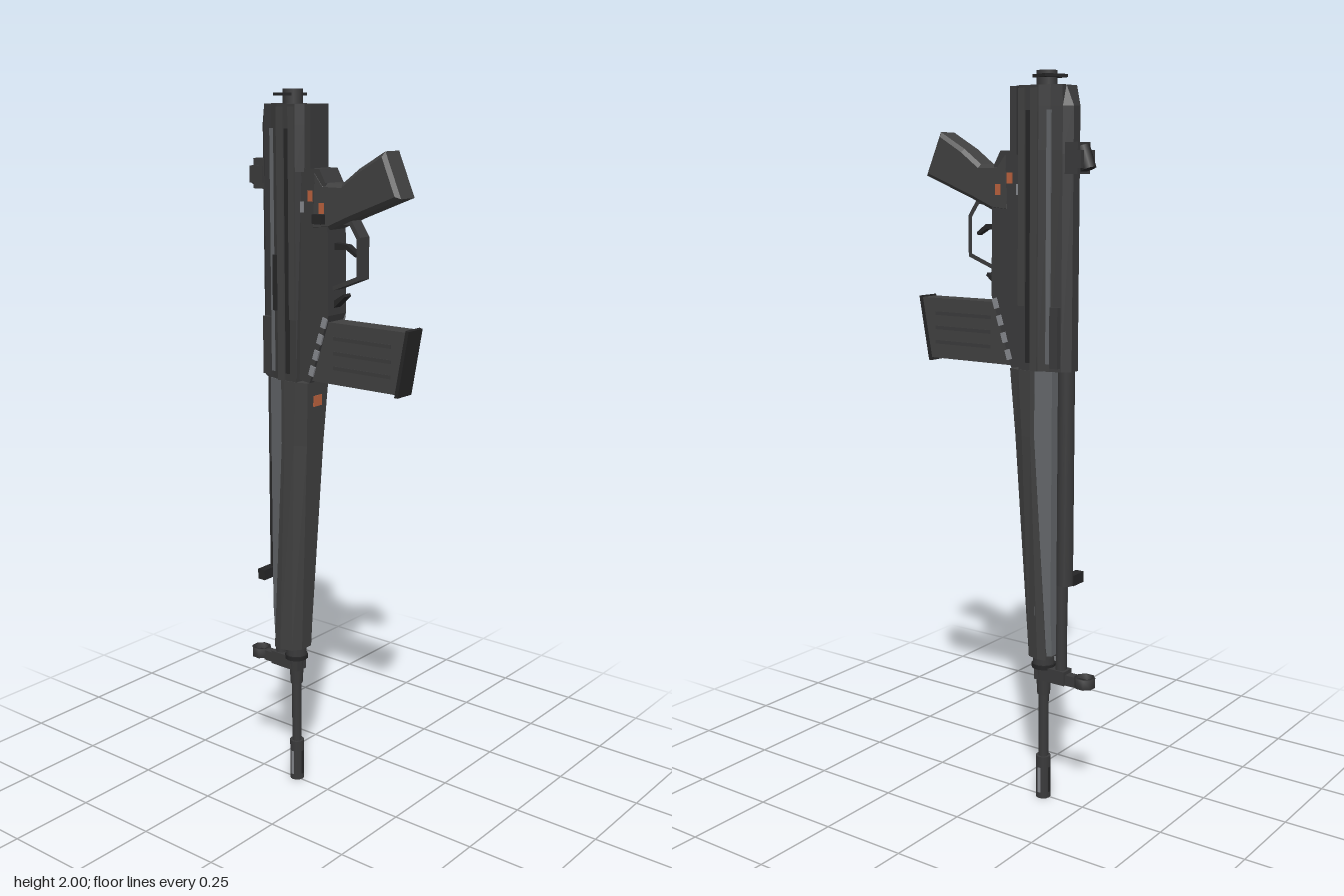
import * as THREE from 'three';

const mat = (name, color) => {
  const m = new THREE.MeshStandardMaterial({ color });
  m.name = name;
  return m;
};

export function createModel() {
  const body = mat('dark grey body', 0x3a3a3b);
  const black = mat('near black', 0x252526);
  const polymer = mat('charcoal polymer', 0x404040);
  const steel = mat('worn steel', 0x626568);
  const orange = mat('orange mark', 0xb8603c);
  const pale = mat('pale mark', 0x85878c);

  const root = new THREE.Group();
  root.name = 'rifle';
  root.position.x = 0.004;
  const add = (name, geo, m, x = 0, y = 0, z = 0) => {
    const mesh = new THREE.Mesh(geo, m);
    mesh.name = name;
    mesh.position.set(x, y, z);
    root.add(mesh);
    return mesh;
  };
  // box given by its x, y and z ranges
  const box = (name, m, [x0, x1], [y0, y1], [z0, z1]) => add(name,
    new THREE.BoxGeometry(x1 - x0, y1 - y0, z1 - z0), m, (x0 + x1) / 2, (y0 + y1) / 2, (z0 + z1) / 2);
  // upright tapered cylinder from y0 to y1
  const tube = (name, m, r0, r1, y0, y1, z, sides = 12) =>
    add(name, new THREE.CylinderGeometry(r1, r0, y1 - y0, sides), m, 0, (y0 + y1) / 2, z);
  // side outline of [z, y] points, extruded across the width
  const side = (name, m, pts, halfW, hole, bevel = 0) => {
    const shape = new THREE.Shape(pts.map(p => new THREE.Vector2(...p)));
    if (hole) shape.holes.push(new THREE.Path(hole.map(p => new THREE.Vector2(...p))));
    const depth = 2 * (halfW - bevel);
    const geo = new THREE.ExtrudeGeometry(shape, {
      depth, bevelEnabled: bevel > 0, bevelSize: bevel, bevelOffset: -bevel, bevelThickness: bevel, bevelSegments: 1
    });
    geo.translate(0, 0, -depth / 2).rotateY(-Math.PI / 2);
    return add(name, geo, m);
  };
  // mirrored [x, z] half-sections, back to front, joined along y
  const loft = (name, m, sections) => {
    const rings = sections.map(([y, half]) => [
      ...half.map(([x, z]) => [x, y, z]), ...[...half].reverse().map(([x, z]) => [-x, y, z])]);
    const out = [], n = rings[0].length;
    const centre = r => [0, r[0][1], r.reduce((s, p) => s + p[2], 0) / n];
    const last = rings[rings.length - 1];
    for (let i = 0; i < n; i++) {
      const j = (i + 1) % n;
      for (let k = 0; k + 1 < rings.length; k++) {
        const a = rings[k], b = rings[k + 1];
        out.push(...a[i], ...b[i], ...a[j], ...a[j], ...b[i], ...b[j]);
      }
      out.push(...centre(rings[0]), ...rings[0][i], ...rings[0][j]);
      out.push(...centre(last), ...last[j], ...last[i]);
    }
    const geo = new THREE.BufferGeometry();
    geo.setAttribute('position', new THREE.Float32BufferAttribute(out, 3));
    geo.computeVertexNormals();
    return add(name, geo, m);
  };

  // barrel and muzzle
  const bz = -0.12;
  tube('barrel', body, 0.014, 0.015, 0.1, 0.45, bz);
  tube('muzzleDevice', body, 0.021, 0.021, 0, 0.125, bz);
  tube('muzzleBore', black, 0.011, 0.011, -0.0005, 0.01, bz);
  for (let i = 0; i < 4; i++) {
    const a = i * Math.PI / 2;
    const slot = add('muzzleSlot', new THREE.BoxGeometry(0.009, 0.075, 0.004), i % 2 ? pale : black,
      Math.sin(a) * 0.02, 0.055, bz + Math.cos(a) * 0.02);
    slot.rotation.y = a;
  }
  tube('barrelCollar', body, 0.018, 0.023, 0.31, 0.4, bz);
  tube('barrelFlange', black, 0.034, 0.034, 0.39, 0.402, bz);
  tube('barrelNut', body, 0.03, 0.03, 0.402, 0.44, bz);

  // handguard: dark shell with lighter upper panels
  loft('handguard', polymer, [
    [0.43, [[0.05, -0.16], [0.055, -0.135], [0.045, -0.1], [0.02, -0.082]]],
    [1.05, [[0.055, -0.122], [0.057, -0.11], [0.053, -0.08], [0.036, -0.047]]],
    [1.23, [[0.055, -0.122], [0.057, -0.11], [0.055, -0.07], [0.045, -0.036]]]]);
  loft('handguardPanel', steel, [
    [0.44, [[0.035, -0.17], [0.048, -0.155]]],
    [0.56, [[0.043, -0.17], [0.055, -0.125]]],
    [1.23, [[0.043, -0.17], [0.055, -0.12]]]]);
  box('handguardMark', orange, [-0.017, 0.017], [1.16, 1.19], [-0.045, -0.036]);

  // cocking tube, handle and front sight
  tube('cockingTube', body, 0.023, 0.023, 0.64, 1.26, -0.187);
  tube('cockingTubeFront', body, 0.016, 0.016, 0.36, 0.65, -0.178);
  box('cockingSlot', black, [-0.025, -0.018], [0.66, 0.98], [-0.193, -0.181]);
  box('cockingHandle', black, [-0.067, -0.015], [0.635, 0.665], [-0.206, -0.181]);
  box('frontSightBracket', body, [-0.02, 0.02], [0.355, 0.395], [-0.2, -0.1]);
  box('frontSightBase', body, [-0.013, 0.013], [0.355, 0.385], [-0.235, -0.19]);
  const ring = [[0.021, -0.014], [0.029, -0.014], [0.029, 0.014], [0.021, 0.014], [0.021, -0.014]];
  add('frontSightHood', new THREE.LatheGeometry(ring.map(p => new THREE.Vector2(...p)), 8), body, 0, 0.374, -0.256)
    .rotation.y = Math.PI / 8;
  box('frontSightPost', black, [-0.004, 0.004], [0.367, 0.38], [-0.26, -0.23]);

  // receiver with tapered rear end
  const rear = [[0.015, -0.213], [0.034, -0.192], [0.042, -0.16], [0.053, -0.13], [0.053, -0.07], [0.037, -0.05], [0.037, -0.03]];
  loft('receiver', body, [
    [1.23, rear.map(([x, z]) => [x, Math.min(z, -0.07)])],
    [1.8, rear.map(([x, z]) => [x, Math.min(z, -0.06)])]]);
  loft('rearBlock', body, [
    [1.79, rear], [1.91, rear],
    [1.962, rear.map(([x, z]) => [x, Math.max(z, -0.19)])]]);
  for (const s of [-1, 1]) {
    const range = (a, b) => s > 0 ? [a, b] : [-b, -a];
    box('receiverRail', polymer, range(0.045, 0.058), [1.23, 1.955], [-0.13, -0.108]);
    box('receiverLowerRail', polymer, range(0.045, 0.058), [1.4, 1.955], [-0.09, -0.07]);
    box('receiverGroove', black, range(0.045, 0.0535), [1.25, 1.9], [-0.107, -0.091]);
    box('receiverStripe', steel, range(0.038, 0.046), [1.25, 1.9], [-0.163, -0.15]);
    box('receiverRib', body, range(0.03, 0.05), [1.24, 1.4], [-0.19, -0.165]);
  }
  box('ejectionPort', black, [-0.054, -0.03], [1.42, 1.57], [-0.15, -0.13]);

  // rear stub and tilted flange
  tube('rearStub', body, 0.027, 0.027, 1.95, 2, bz, 8);
  const flange = box('rearFlange', black, [-0.035, 0.035], [1.982, 1.99], [-0.16, -0.1]);
  flange.rotation.y = -0.4;

  // rear sight
  box('rearSightBase', body, [-0.03, 0.03], [1.74, 1.82], [-0.235, -0.195]);
  tube('rearSightDrum', black, 0.022, 0.022, 1.75, 1.81, -0.238, 8).rotation.x = 0.35;
  for (const x of [-0.026, 0.026])
    box('rearSightEar', body, [x - 0.007, x + 0.007], [1.755, 1.8], [-0.247, -0.2]);

  // trigger housing and magazine well
  side('triggerHousing', body, [[-0.1, 1.24], [-0.035, 1.23], [0.03, 1.42], [0.028, 1.66],
    [0.02, 1.765], [0, 1.8], [-0.1, 1.8]], 0.038);
  side('grip', polymer, [[0.205, 1.85], [0.125, 1.805], [0.07, 1.765], [0.015, 1.765], [-0.02, 1.8],
    [-0.03, 1.64], [0.03, 1.645], [0.1, 1.675], [0.255, 1.735]], 0.039, null, 0.01);
  side('triggerGuard', body,
    [[0, 1.675], [0.09, 1.675], [0.12, 1.63], [0.12, 1.52], [0.035, 1.487], [0, 1.487]], 0.02,
    [[0.012, 1.66], [0.085, 1.66], [0.109, 1.625], [0.109, 1.528], [0.033, 1.498], [0.012, 1.498]]);
  side('trigger', black, [[0.02, 1.61], [0.07, 1.607], [0.1, 1.585], [0.097, 1.577], [0.066, 1.595], [0.02, 1.59]], 0.01);
  side('magazineRelease', black, [[0, 1.44], [0.062, 1.478], [0.066, 1.471], [0.02, 1.43]], 0.014);

  // selector lever and marks
  for (const s of [-1, 1]) {
    const plate = (name, m, y, z) => box(name, m, [s * 0.038 - 0.003, s * 0.038 + 0.003], [y - 0.014, y + 0.014], [z - 0.008, z + 0.008]);
    plate('selectorMark', orange, 1.7, 0.008);
    plate('selectorMark', orange, 1.73, -0.03);
    plate('selectorMark', pale, 1.7, -0.06);
    for (let i = 0; i < 4; i++) {
      const dash = plate('wellRib', pale, 1.4 - i * 0.045, 0.016 - i * 0.014);
      dash.rotation.x = 0.3;
    }
  }
  box('selectorLever', black, [-0.057, -0.03], [1.66, 1.685], [-0.01, 0.02]);

  // magazine
  side('magazine', polymer, [[-0.04, 1.235], [0.25, 1.235], [0.28, 1.402], [-0.01, 1.402]], 0.029);
  side('magazineFloor', black, [[0.243, 1.227], [0.254, 1.227], [0.286, 1.405], [0.276, 1.407]], 0.031);
  for (const y of [1.28, 1.32, 1.36])
    box('magazineRib', body, [-0.031, 0.031], [y - 0.005, y + 0.005], [0.04, 0.23]);

  return root;
}
